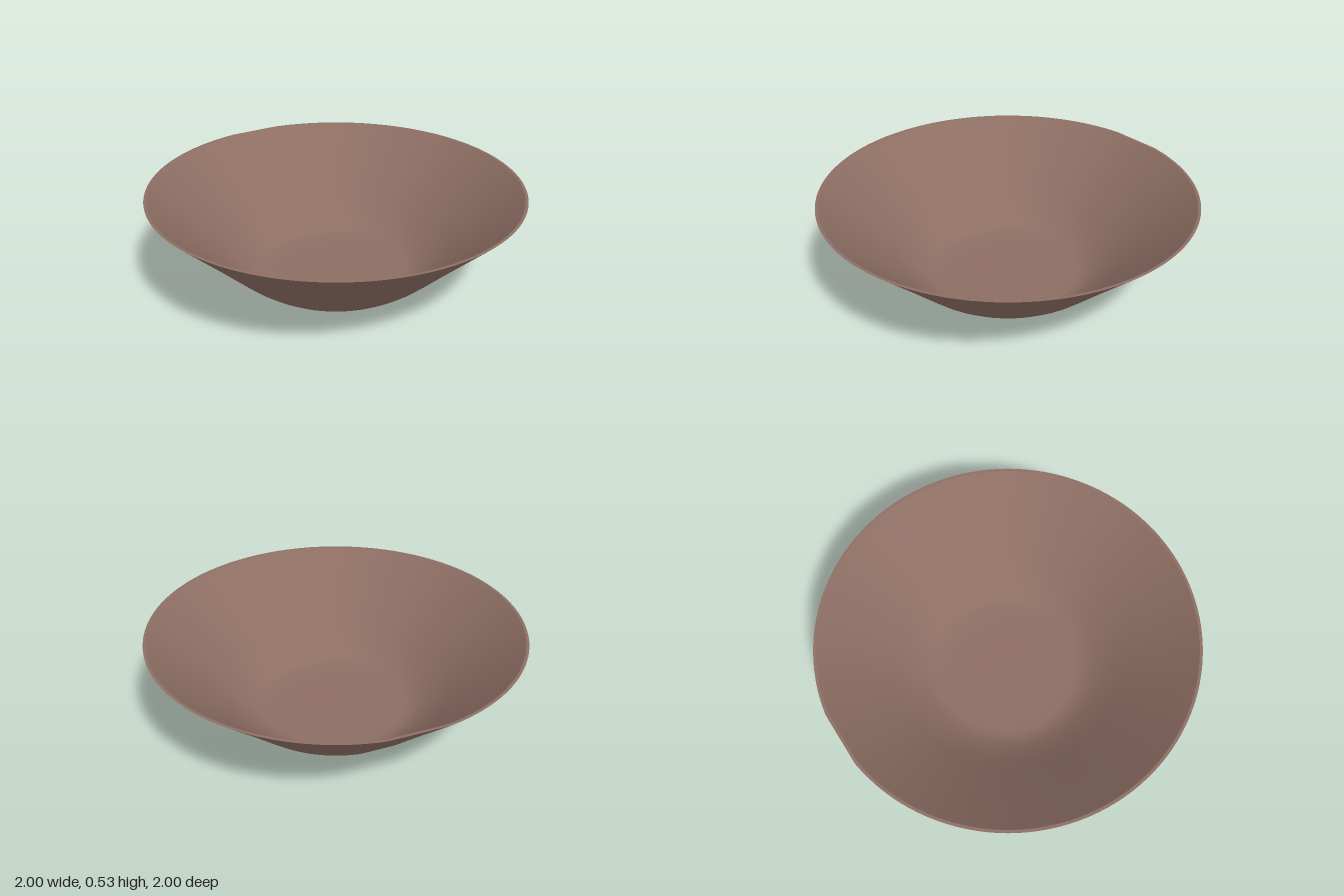
import * as THREE from 'three';

const material = new THREE.MeshStandardMaterial({ color: 0x8d6e63 });

// Flat spot in the wall: a short chord just left of the back centre
const FLAT_CENTRE = Math.PI + 0.148;
const FLAT_HALF = 0.148;

function turned(name, profile) {
  const points = profile.map(([r, y]) => new THREE.Vector2(r, y));
  const geometry = new THREE.LatheGeometry(points, 128);
  const pos = geometry.attributes.position;
  for (let i = 0; i < pos.count; i++) {
    const x = pos.getX(i), z = pos.getZ(i);
    const angle = (Math.atan2(x, z) + 2 * Math.PI) % (2 * Math.PI);
    const offset = Math.abs(angle - FLAT_CENTRE);
    if (offset < FLAT_HALF) {
      const k = Math.cos(FLAT_HALF) / Math.cos(offset);
      pos.setX(i, x * k);
      pos.setZ(i, z * k);
    }
  }
  const mesh = new THREE.Mesh(geometry, material);
  mesh.name = name;
  return mesh;
}

export function createModel() {
  const bowl = new THREE.Group();
  bowl.name = 'bowl';
  bowl.add(
    // Outside: flat base, rounded foot, straight flared wall
    turned('outerWall', [
      [0, 0], [0.2, 0.002], [0.33, 0.008], [0.4, 0.012], [0.44, 0.021], [0.48, 0.042],
      [0.53, 0.078], [0.58, 0.119], [0.64, 0.177], [0.8, 0.337], [1, 0.532],
    ]),
    // Narrow lip
    turned('rim', [[1, 0.532], [0.985, 0.532]]),
    // Inside: wall down to the floor, following the outside
    turned('innerWall', [
      [0.985, 0.532], [0.785, 0.342], [0.625, 0.182], [0.565, 0.126], [0.515, 0.086],
      [0.47, 0.054], [0.43, 0.034], [0.39, 0.025], [0.32, 0.021], [0.2, 0.016], [0, 0.015],
    ]),
  );
  return bowl;
}
